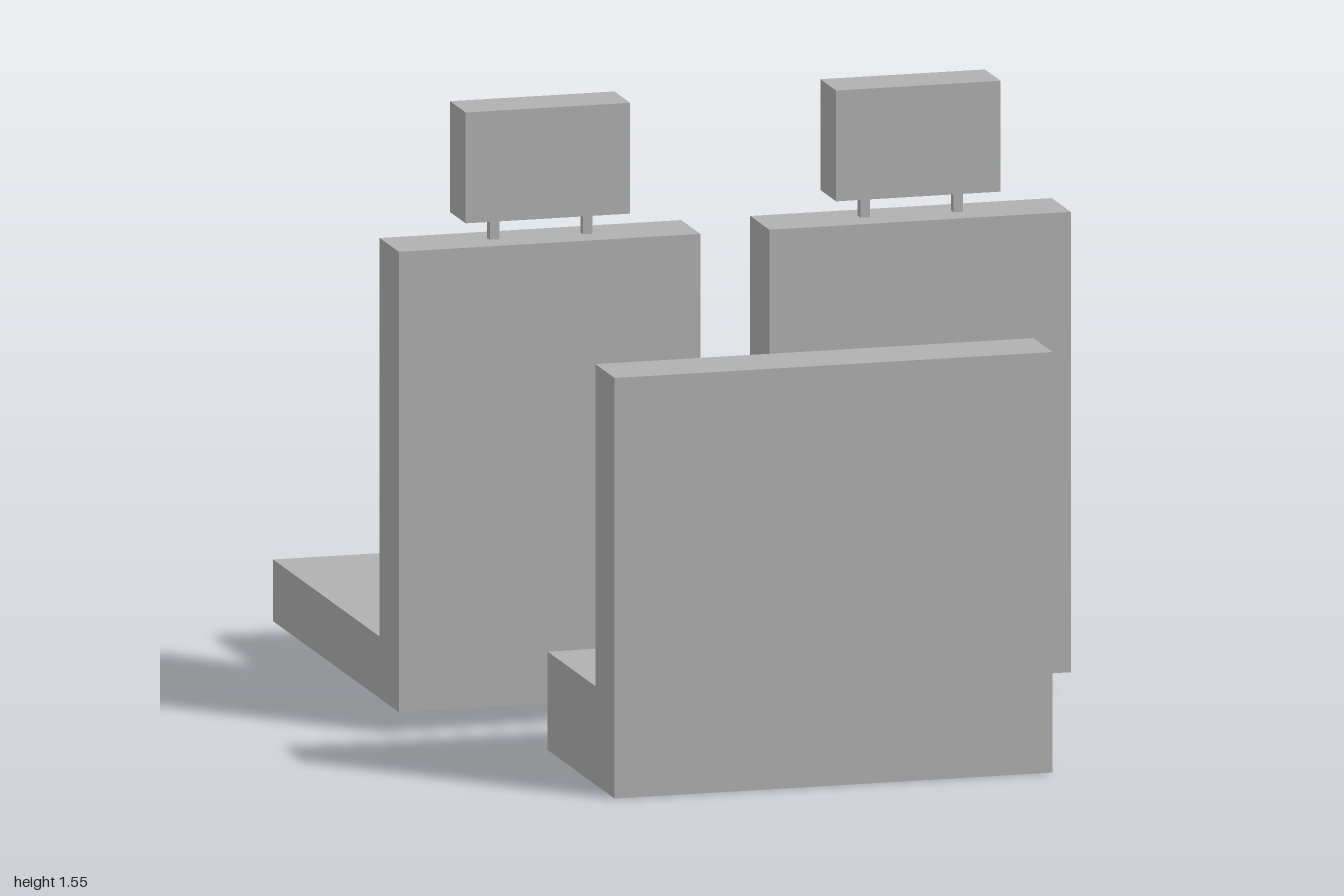
import * as THREE from 'three';

const seatGrey = new THREE.MeshStandardMaterial({ color: 0xb0b0b0 });
seatGrey.name = 'seatGrey';

function box(name, [w, h, d], [x, y, z]) {
  const mesh = new THREE.Mesh(new THREE.BoxGeometry(w, h, d), seatGrey);
  mesh.name = name;
  mesh.position.set(x, y, z);
  return mesh;
}

// L-shaped side profile, given as [z, y] points, extruded across the seat width
function seatBody(name, profile, width) {
  const shape = new THREE.Shape(profile.map(([z, y]) => new THREE.Vector2(-z, y)));
  const geometry = new THREE.ExtrudeGeometry(shape, { depth: width, bevelEnabled: false });
  geometry.translate(0, 0, -width / 2);
  geometry.rotateY(Math.PI / 2);
  const mesh = new THREE.Mesh(geometry, seatGrey);
  mesh.name = name;
  return mesh;
}

// Single seat with a headrest on two posts
function singleSeat(name, x) {
  const seat = new THREE.Group();
  seat.name = name;
  seat.position.x = x;
  seat.add(seatBody('seatAndBackrest', [
    [0.12, 0.055], [-1, 0.055], [-1, 0.21], [-0.05, 0.21], [-0.05, 1.21], [0.12, 1.21],
  ], 0.77));
  seat.add(box('headrest', [0.42, 0.278, 0.14], [0, 1.407, 0.035]));
  for (const side of [-1, 1]) {
    seat.add(box('headrestPost', [0.024, 0.06, 0.024], [side * 0.119, 1.239, 0.033]));
  }
  return seat;
}

export function createModel() {
  const model = new THREE.Group();
  model.name = 'seats';
  model.add(singleSeat('leftSeat', 0.473), singleSeat('rightSeat', -0.473));
  // Wide bench without headrests
  model.add(seatBody('bench', [
    [1, 0], [0.403, 0], [0.403, 0.247], [0.828, 0.247], [0.828, 1.055], [1, 1.055],
  ], 1.118));
  return model;
}
